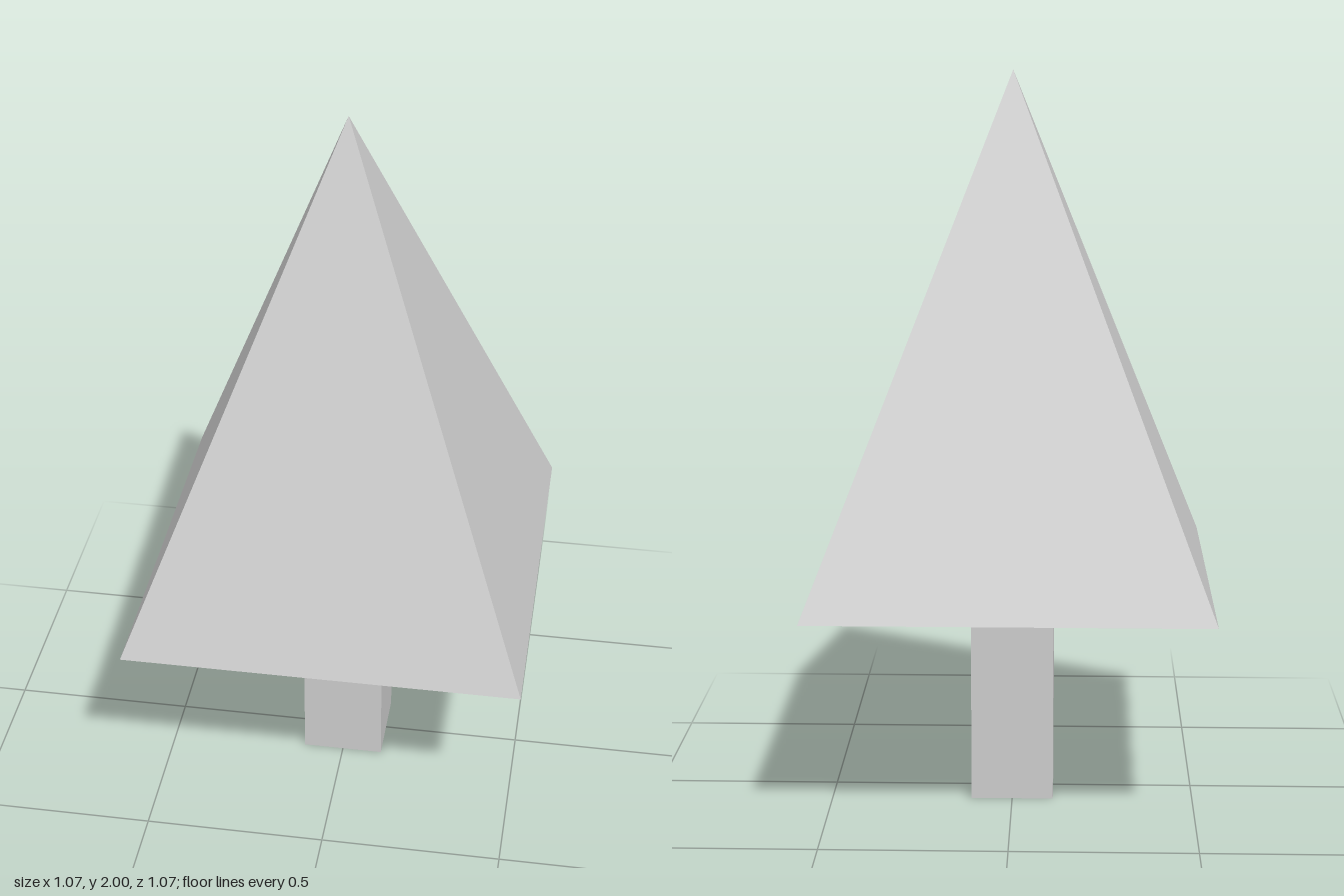
import * as THREE from 'three';

export function createModel() {
  const group = new THREE.Group();
  group.name = 'tree';

  const lightGrey = new THREE.MeshStandardMaterial({ color: 0xcccccc, flatShading: true });
  lightGrey.name = 'lightGrey';

  const total = 2;
  const trunkHeight = 0.62;
  const trunkWidth = 0.226;
  const crownHalf = 0.537;

  // Square trunk standing on the ground
  const trunk = new THREE.Mesh(new THREE.BoxGeometry(trunkWidth, trunkHeight, trunkWidth), lightGrey);
  trunk.name = 'trunk';
  trunk.position.y = trunkHeight / 2;
  group.add(trunk);

  // Four-sided pyramid crown, turned so its sides face the axes
  const crownHeight = total - trunkHeight;
  const crownGeometry = new THREE.ConeGeometry(crownHalf * Math.SQRT2, crownHeight, 4);
  crownGeometry.rotateY(Math.PI / 4);
  const crown = new THREE.Mesh(crownGeometry, lightGrey);
  crown.name = 'crown';
  crown.position.y = trunkHeight + crownHeight / 2;
  group.add(crown);

  return group;
}
